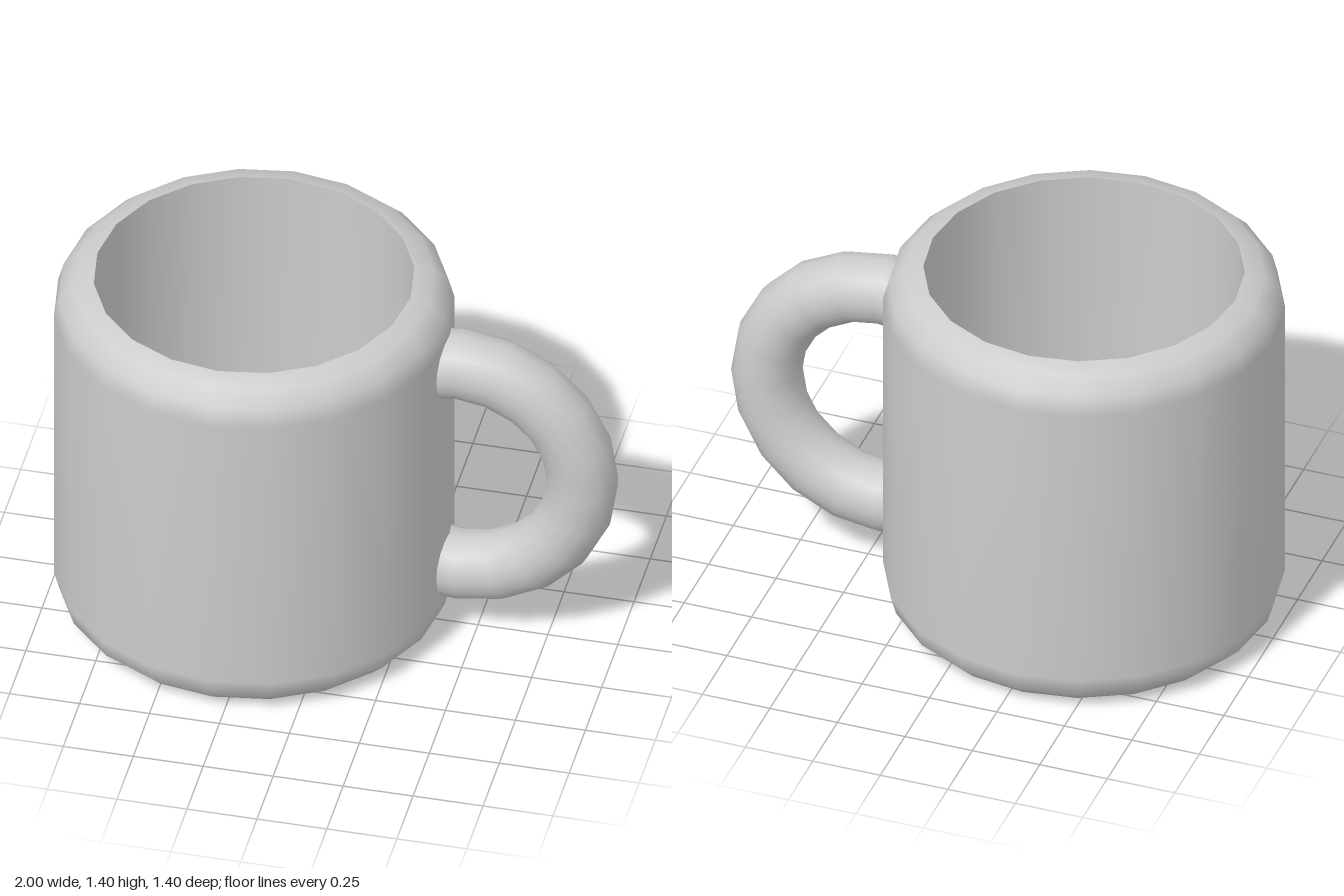
import * as THREE from 'three';

const SIDES = 20;
const RADIUS = 0.7, INNER = 0.56, HEIGHT = 1.4, ROUND = 0.14, FLOOR = 0.14;

// Points of an arc, from angle a to angle b in degrees
function arc(cx, cy, r, a, b, steps = 3) {
  return Array.from({ length: steps + 1 }, (_, i) => {
    const t = THREE.MathUtils.degToRad(a + (b - a) * i / steps);
    return new THREE.Vector2(cx + r * Math.cos(t), cy + r * Math.sin(t));
  });
}

export function createModel() {
  const group = new THREE.Group();
  group.name = 'mug';
  const material = new THREE.MeshStandardMaterial({ color: 0xcccccc });

  const add = (name, geometry, x, y) => {
    const mesh = new THREE.Mesh(geometry, material);
    mesh.name = name;
    mesh.position.set(x, y, 0);
    group.add(mesh);
    return mesh;
  };

  // Outer shell: base, rounded foot, wall and rounded rim
  const outer = [
    new THREE.Vector2(0, 0),
    ...arc(RADIUS - ROUND, ROUND, ROUND, -90, 0),
    ...arc(RADIUS - ROUND, HEIGHT - ROUND, ROUND, 0, 90),
  ];
  add('outerShell', new THREE.LatheGeometry(outer, SIDES), -0.3, 0);

  // Hollow inside with a rounded floor edge; meets the rim in a sharp edge
  const fillet = 0.12;
  const inner = [
    new THREE.Vector2(INNER, HEIGHT),
    ...arc(INNER - fillet, FLOOR + fillet, fillet, 0, -90),
    new THREE.Vector2(0, FLOOR),
  ];
  add('innerShell', new THREE.LatheGeometry(inner, SIDES), -0.3, 0);

  // Ring handle whose ends sink into the wall
  const sweep = THREE.MathUtils.degToRad(216);
  const handle = add('handle', new THREE.TorusGeometry(0.44, 0.125, 16, 12, sweep), 0.435, HEIGHT / 2);
  handle.rotation.z = -sweep / 2;

  return group;
}
